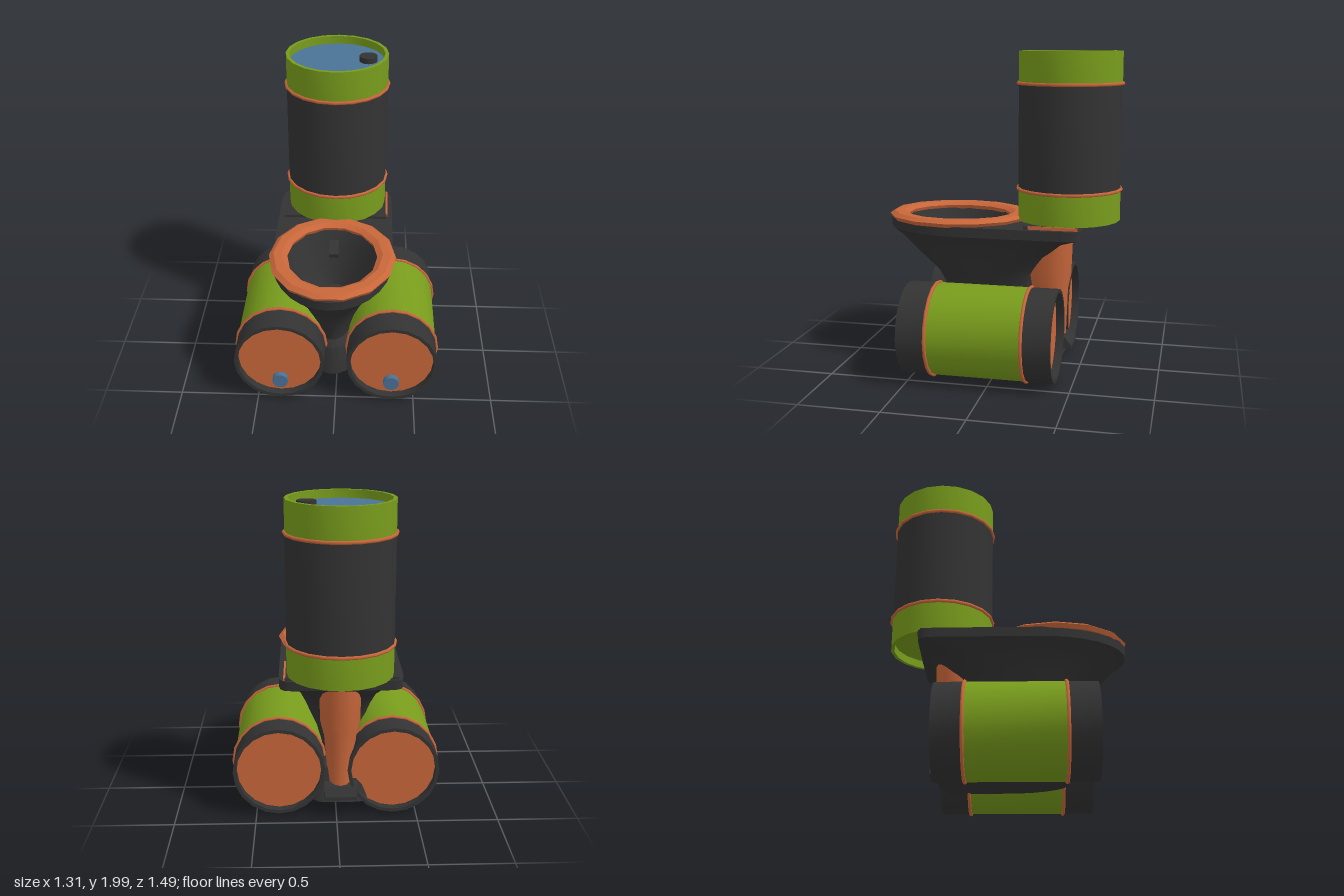
import * as THREE from 'three';
import { toCreasedNormals } from 'three/addons/utils/BufferGeometryUtils.js';

const material = (color) => new THREE.MeshStandardMaterial({ color });
const GREEN = material(0x789c1c), DARK = material(0x333333);
const ORANGE = material(0xc8663a), BLUE = material(0x4a7296);
const CX = -0.027; // the bowl and upright barrel sit slightly off centre

function add(parent, name, geometry, mat, x = 0, y = 0, z = 0) {
  const mesh = new THREE.Mesh(geometry, mat);
  mesh.name = name;
  mesh.position.set(x, y, z);
  parent.add(mesh);
  return mesh;
}

// Skin through horizontal sections [y, halfWidth, zFront, zMiddle, zBack, backSquareness]
function loft(sections, sides, crease, turn = 0) {
  const pos = [], index = [];
  for (const [y, w, zf, zm, zb, p = 1] of sections) {
    for (let i = 0; i < sides; i++) {
      const a = ((i + turn) / sides) * Math.PI * 2;
      const c = Math.cos(a), s = Math.sin(a);
      const e = s < -1e-6 ? p : 1;
      const x = w * Math.sign(c) * Math.abs(c) ** e;
      const z = s >= -1e-6 ? zm + (zf - zm) * s : zm - (zm - zb) * Math.abs(s) ** e;
      pos.push(x, y, z);
    }
  }
  for (let k = 0; k < sections.length - 1; k++) {
    for (let i = 0; i < sides; i++) {
      const j = (i + 1) % sides, a = k * sides, b = a + sides;
      index.push(a + i, b + i, a + j, a + j, b + i, b + j);
    }
  }
  const g = new THREE.BufferGeometry();
  g.setAttribute('position', new THREE.Float32BufferAttribute(pos, 3));
  g.setIndex(index);
  return toCreasedNormals(g, crease);
}

// Upright barrel from y = 0 to h: three bands, two hoops, recessed ends
function barrel(name, r, h, cuts, endMat, midMat, topMat, bottomMat) {
  const g = new THREE.Group();
  g.name = name;
  const sides = 20, lip = 0.022, recess = 0.05;
  const lathe = (pts) => toCreasedNormals(
    new THREE.LatheGeometry(pts.map(([a, b]) => new THREE.Vector2(a, b)), sides), 0.7);
  add(g, 'lowerBand', lathe([[r - lip, recess], [r - lip, 0], [r, 0], [r, cuts[0]]]), endMat);
  add(g, 'middleBand', lathe([[r, cuts[0]], [r, cuts[1]]]), midMat);
  add(g, 'upperBand', lathe([[r, cuts[1]], [r, h], [r - lip, h], [r - lip, h - recess]]), endMat);
  add(g, 'upperEnd', new THREE.CircleGeometry(r - lip, sides), topMat, 0, h - recess).rotation.x = -Math.PI / 2;
  add(g, 'lowerEnd', new THREE.CircleGeometry(r - lip, sides), bottomMat, 0, recess).rotation.x = Math.PI / 2;
  for (const y of cuts) {
    add(g, 'hoop', new THREE.TorusGeometry(r + 0.003, 0.011, 6, sides), ORANGE, 0, y).rotation.x = Math.PI / 2;
  }
  return g;
}

export function createModel() {
  const model = new THREE.Group();
  model.name = 'barrelToilet';

  // Upright barrel used as the water tank
  const tank = barrel('tankBarrel', 0.32, 1.04, [0.195, 0.845], GREEN, DARK, BLUE, GREEN);
  tank.position.set(CX + 0.004, 0.96, -0.41);
  add(tank, 'tankBung', new THREE.CylinderGeometry(0.056, 0.056, 0.035, 16), DARK, 0.193, 1.007, 0);
  model.add(tank);

  // Two barrels lying front to back beside the pedestal
  for (const side of [-1, 1]) {
    const b = barrel(side > 0 ? 'leftBarrel' : 'rightBarrel', 0.285, 0.935, [0.175, 0.755], DARK, GREEN, ORANGE, ORANGE);
    b.rotation.x = Math.PI / 2;
    b.position.set(side * 0.355, 0.305, -0.405);
    add(b, 'barrelBung', new THREE.CylinderGeometry(0.05, 0.05, 0.035, 16), BLUE, 0, 0.902, 0.17);
    model.add(b);
  }

  const toilet = new THREE.Group();
  toilet.name = 'toilet';
  toilet.position.x = CX;
  model.add(toilet);

  // Pedestal, bowl, square rear deck and hollow inside in one skin
  add(toilet, 'bowl', loft([
    [0.09, 0, 0, 0, 0],
    [0.09, 0.2, 0.38, 0, -0.4, 0.4],
    [0.3, 0.19, 0.37, 0, -0.34, 0.5],
    [0.345, 0.13, 0.34, 0.05, -0.25, 0.7],
    [0.45, 0.15, 0.36, 0.08, -0.2],
    [0.6, 0.22, 0.44, 0.1, -0.2],
    [0.72, 0.27, 0.57, 0.15, -0.28, 0.7],
    [0.83, 0.315, 0.68, 0.2, -0.4, 0.35],
    [0.885, 0.372, 0.745, 0.22, -0.525, 0.12],
    [0.945, 0.372, 0.75, 0.22, -0.53, 0.12],
    [0.945, 0.285, 0.61, 0.28, -0.03],
    [0.88, 0.26, 0.58, 0.28, 0],
    [0.72, 0.19, 0.48, 0.25, 0.04],
    [0.6, 0.1, 0.34, 0.2, 0.08],
    [0.6, 0, 0.2, 0.2, 0.2],
  ], 28, 0.6), DARK);

  // Faceted seat ring
  const seatEdge = (y, w, d) => [y, w, 0.3 + d, 0.3, 0.3 - d];
  add(toilet, 'seat', loft([
    seatEdge(0.94, 0.375, 0.44), seatEdge(0.965, 0.389, 0.455), seatEdge(0.985, 0.36, 0.425),
    seatEdge(0.985, 0.31, 0.365), seatEdge(0.965, 0.275, 0.33), seatEdge(0.94, 0.285, 0.34),
    seatEdge(0.94, 0.375, 0.44),
  ], 14, 0.5), ORANGE);

  // Raised deck under the tank, with a thin trim strip
  add(toilet, 'deckPlate', new THREE.BoxGeometry(0.67, 0.018, 0.33), DARK, 0, 0.952, -0.345);
  add(toilet, 'deckTrim', new THREE.BoxGeometry(0.012, 0.02, 0.3), ORANGE, 0.336, 0.954, -0.36);

  // Small spout at the back of the bowl
  add(toilet, 'spout', new THREE.BoxGeometry(0.06, 0.03, 0.14), DARK, 0, 0.86, 0.05).rotation.x = 0.25;

  // Drain pipe behind the pedestal and its foot tab
  add(toilet, 'drainPipe', loft([
    [0.18, 0.075, -0.24, -0.32, -0.4],
    [0.5, 0.1, -0.18, -0.3, -0.41],
    [0.6, 0.125, -0.14, -0.29, -0.43],
    [0.89, 0.13, -0.18, -0.31, -0.44],
  ], 12, 0.8), ORANGE);
  const tab = new THREE.Shape([[-0.3, 0.13], [-0.45, 0.13], [-0.45, 0.15], [-0.41, 0.2], [-0.3, 0.24]]
    .map(([z, y]) => new THREE.Vector2(-z, y)));
  add(toilet, 'footTab', new THREE.ExtrudeGeometry(tab, { depth: 0.2, bevelEnabled: false }), DARK, -0.1)
    .rotation.y = Math.PI / 2;
  return model;
}
